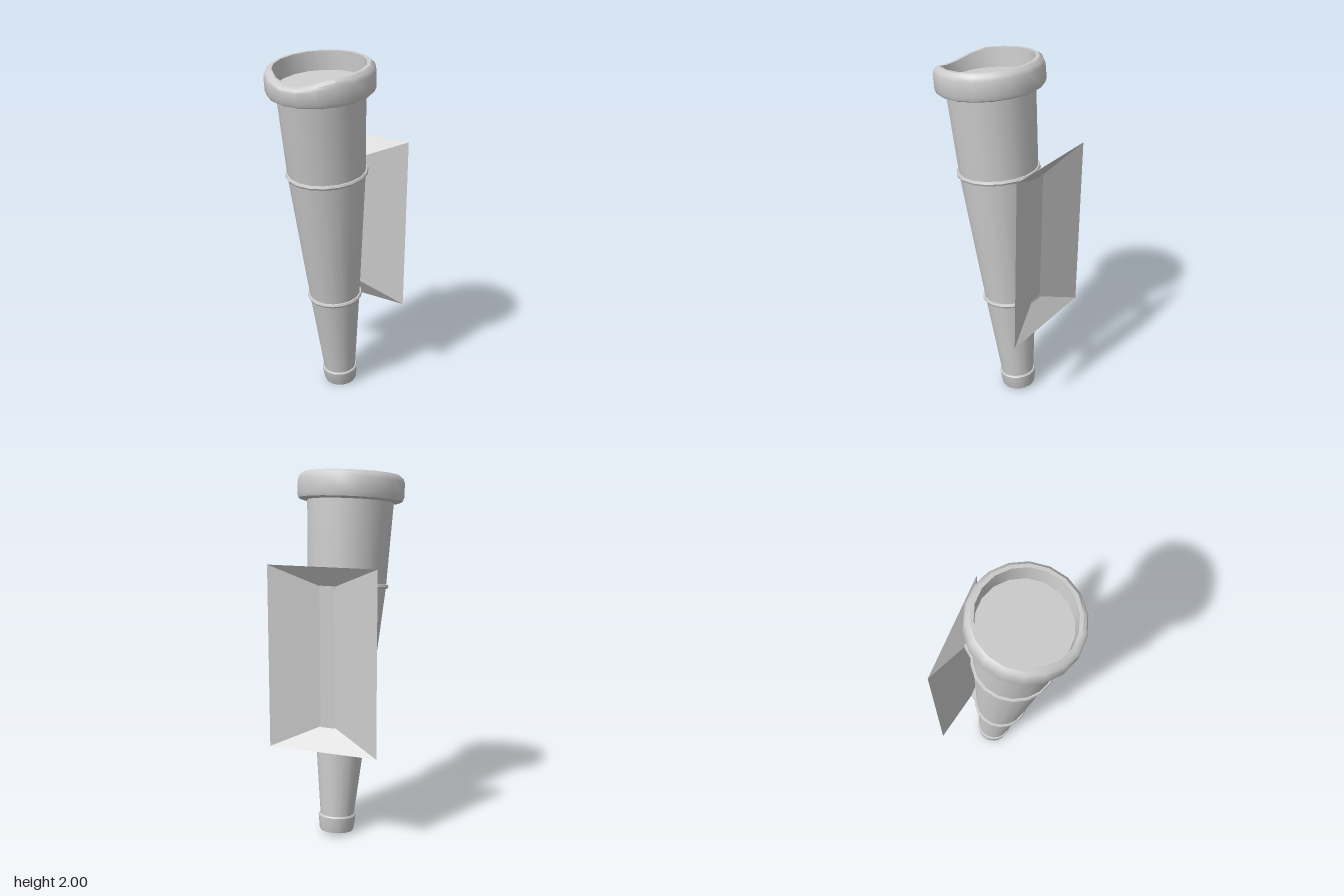
import * as THREE from 'three';
import { toCreasedNormals } from 'three/addons/utils/BufferGeometryUtils.js';

const SIDES = 18;
const material = new THREE.MeshStandardMaterial({ color: 0xcccccc });
const thinMaterial = new THREE.MeshStandardMaterial({ color: 0xcccccc, side: THREE.DoubleSide });

function addMesh(parent, name, geometry, mat = material) {
  const mesh = new THREE.Mesh(geometry, mat);
  mesh.name = name;
  parent.add(mesh);
  return mesh;
}

// Lathe of [radius, height] pairs, with flat edges facing front and back
function turned(points) {
  const profile = points.map(([r, y]) => new THREE.Vector2(r, y));
  return new THREE.LatheGeometry(profile, SIDES).rotateY(Math.PI / SIDES);
}

const smooth = (geometry) => toCreasedNormals(geometry, 0.6);

// Lowers the upper part of the rim around the front to form a pouring notch
function cutNotch(geometry, bottom, height) {
  const p = geometry.attributes.position;
  for (let i = 0; i < p.count; i++) {
    const angle = Math.abs(Math.atan2(p.getX(i), p.getZ(i)));
    const t = Math.max(0, (p.getY(i) - bottom) / height - 0.4) / 0.6;
    const falloff = Math.max(0, 1 - angle / 0.87);
    if (Math.hypot(p.getX(i), p.getZ(i)) > 0.24) p.setY(i, p.getY(i) - 0.05 * t * falloff);
  }
  return geometry;
}

// Shallow four-sided dish between a narrow strip and a wide open rectangle
function dishGeometry() {
  const ring = (x, y0, y1, z) => [[-x, y0, z], [x, y0, z], [x, y1, z], [-x, y1, z]];
  const inner = ring(0.043, 0.635, 1.4, -0.265);
  const outer = ring(0.31, 0.515, 1.51, -0.343);
  const v = [];
  const quad = (a, b, c, d) => v.push(...a, ...b, ...c, ...a, ...c, ...d);
  quad(...inner);
  for (let i = 0; i < 4; i++) {
    const j = (i + 1) % 4;
    quad(inner[i], outer[i], outer[j], inner[j]);
  }
  const geometry = new THREE.BufferGeometry();
  geometry.setAttribute('position', new THREE.Float32BufferAttribute(v, 3));
  geometry.computeVertexNormals();
  return geometry;
}

// Flat tapered tab that reaches from a band back to the dish
function tabGeometry(halfWidth, zFront) {
  const shape = new THREE.Shape();
  shape.moveTo(-halfWidth, -zFront);
  shape.lineTo(halfWidth, -zFront);
  shape.lineTo(0.043, 0.267);
  shape.lineTo(-0.043, 0.267);
  shape.closePath();
  return new THREE.ExtrudeGeometry(shape, { depth: 0.018, bevelEnabled: false }).rotateX(-Math.PI / 2);
}

export function createModel() {
  const model = new THREE.Group();
  model.name = 'taperedHolder';

  // Everything turned shares one axis that leans forward
  const tube = new THREE.Group();
  tube.name = 'tube';
  tube.position.set(-0.004, 0.011, -0.157);
  tube.rotation.x = 0.112;
  model.add(tube);

  addMesh(tube, 'body', smooth(turned([
    [0.09, 0.05], [0.145, 0.6], [0.215, 1.37], [0.238, 1.86],
  ])));

  // End cap with a closed bottom
  addMesh(tube, 'endCap', smooth(turned([
    [0, 0], [0.092, 0], [0.096, 0.01], [0.105, 0.085], [0.1, 0.092], [0.088, 0.092],
  ])));

  // Thick rim, hollow inside, with the notch at the front
  const rimBase = 1.83;
  const rim = turned([
    [0.236, 0], [0.27, 0], [0.284, 0.008], [0.292, 0.03], [0.292, 0.108],
    [0.284, 0.13], [0.266, 0.145], [0.247, 0.145], [0.238, 0.03],
  ].map(([r, y]) => [r, y + rimBase]));
  addMesh(tube, 'rim', smooth(cutNotch(rim, rimBase, 0.145)), thinMaterial);

  // Flat floor inside the rim
  addMesh(tube, 'innerFloor',
    new THREE.CircleGeometry(0.241, SIDES).rotateX(-Math.PI / 2).translate(0, 1.87, 0));

  // Two bands, each with a tab to the back
  const bands = [
    { name: 'upper', s: 1.375, r: 0.216, tabY: 1.386, half: 0.105, front: -0.19 },
    { name: 'lower', s: 0.602, r: 0.146, tabY: 0.622, half: 0.075, front: -0.2 },
  ];
  for (const b of bands) {
    addMesh(tube, b.name + 'Band', smooth(turned([
      [b.r - 0.006, b.s - 0.012], [b.r + 0.008, b.s - 0.011], [b.r + 0.013, b.s],
      [b.r + 0.008, b.s + 0.011], [b.r - 0.006, b.s + 0.012],
    ])));
    const tab = addMesh(model, b.name + 'Tab', tabGeometry(b.half, b.front));
    tab.position.y = b.tabY;
  }

  addMesh(model, 'backDish', dishGeometry(), thinMaterial);
  return model;
}
